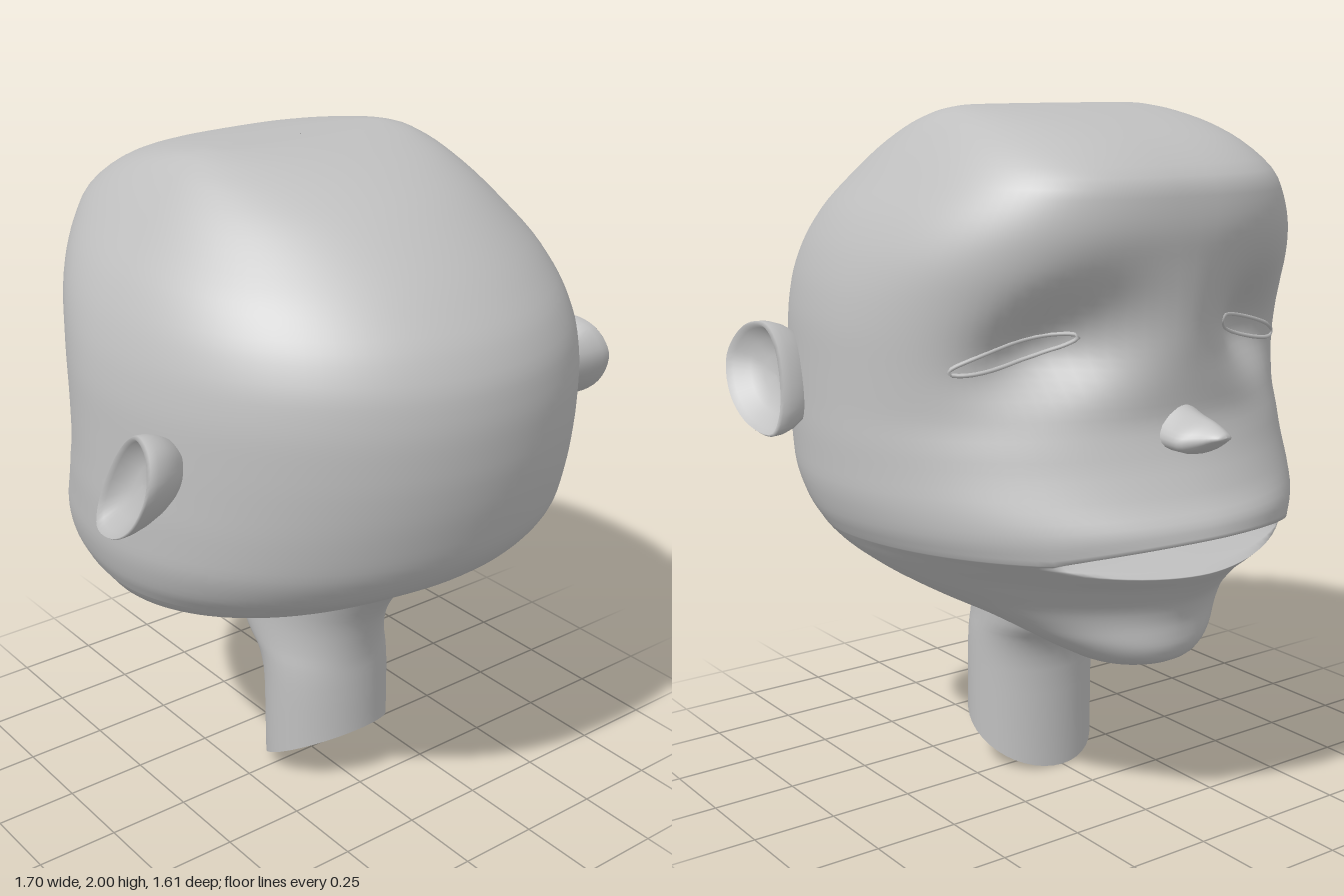
import * as THREE from 'three';

const skin = new THREE.MeshStandardMaterial({ color: 0xbfbfbf, side: THREE.DoubleSide });
skin.name = 'plain grey';

// Skins a list of closed loops of [x, y, z] points with smooth normals
function loft(name, loops) {
  const n = loops[0].length, index = [];
  for (let r = 0; r < loops.length - 1; r++) {
    for (let i = 0; i < n; i++) {
      const j = (i + 1) % n;
      const a = r * n + i, b = r * n + j, c = a + n, d = b + n;
      index.push(a, b, c, b, d, c);
    }
  }
  const geometry = new THREE.BufferGeometry();
  geometry.setAttribute('position', new THREE.Float32BufferAttribute(loops.flat(2), 3));
  geometry.setIndex(index);
  geometry.computeVertexNormals();
  const mesh = new THREE.Mesh(geometry, skin);
  mesh.name = name;
  return mesh;
}

// Smoothly interpolates rows of numbers without overshooting
function smoothRows(rows, steps) {
  const slope = (k, c) => {
    const before = Math.max(k, 1), after = Math.min(k, rows.length - 2);
    const p = rows[before][c] - rows[before - 1][c], q = rows[after + 1][c] - rows[after][c];
    return p * q <= 0 ? 0 : (2 * p * q) / (p + q);
  };
  const out = [];
  for (let k = 0; k < rows.length - 1; k++) {
    for (let s = 0; s < steps; s++) {
      const t = s / steps, t2 = t * t, t3 = t2 * t;
      out.push(rows[k].map((v, c) => (2 * t3 - 3 * t2 + 1) * v + (t3 - 2 * t2 + t) * slope(k, c)
        + (3 * t2 - 2 * t3) * rows[k + 1][c] + (t3 - t2) * slope(k + 1, c)));
    }
  }
  out.push(rows[rows.length - 1]);
  return out;
}

// Head levels: y, half width, face z, back z, z of widest point, face squareness
const lowerHead = [
  [0.458, 0.001, -0.43, -0.428, -0.429, 2],
  [0.465, 0.12, -0.53, -0.28, -0.40, 2],
  [0.50, 0.20, -0.61, -0.12, -0.36, 2.1],
  [0.55, 0.28, -0.63, 0.02, -0.30, 2],
  [0.60, 0.36, -0.63, 0.12, -0.24, 1.8],
  [0.66, 0.47, -0.645, 0.24, -0.16, 1.65],
  [0.73, 0.58, -0.70, 0.37, -0.08, 1.65],
  [0.79, 0.65, -0.755, 0.48, -0.02, 1.75],
  [0.82, 0.675, -0.78, 0.53, 0, 1.83],
];
const upperHead = [
  [0.84, 0.69, -0.80, 0.56, 0, 1.87],
  [0.90, 0.72, -0.79, 0.65, 0, 1.87],
  [1.00, 0.74, -0.73, 0.73, 0, 1.87],
  [1.10, 0.74, -0.67, 0.765, 0, 1.9],
  [1.20, 0.735, -0.635, 0.79, 0, 1.93],
  [1.30, 0.73, -0.64, 0.805, 0, 1.97],
  [1.40, 0.725, -0.65, 0.81, 0, 2],
  [1.50, 0.71, -0.66, 0.80, 0, 2.1],
  [1.60, 0.68, -0.67, 0.76, 0, 2.3],
  [1.70, 0.63, -0.68, 0.68, 0, 2.5],
  [1.80, 0.555, -0.67, 0.57, -0.02, 2.7],
  [1.90, 0.47, -0.55, 0.42, -0.04, 2.8],
  [1.96, 0.405, -0.38, 0.27, -0.05, 2.7],
  [1.99, 0.345, -0.22, 0.13, -0.05, 2.4],
  [2.00, 0.27, -0.12, 0.02, -0.05, 2],
  [2.00, 0.001, -0.051, -0.049, -0.05, 2],
];

// One head loop; mouthY and inset open the mouth between its corners
function headLoop([y0, w, zf, zb, zc, nf], mouthY, inset) {
  const loop = [], segments = 112;
  for (let i = 0; i < segments; i++) {
    const a = (i / segments) * Math.PI * 2;
    const s = Math.sin(a), c = Math.cos(a);
    const n = c < 0 ? nf : 2;
    const x = w * Math.sign(s) * Math.abs(s) ** (2 / n);
    let z = zc + (c < 0 ? zf - zc : zb - zc) * Math.abs(c) ** (2 / n);
    let y = y0;
    if (c < 0) {
      const open = Math.max(0, 1 - (x / 0.42) ** 2);
      y += mouthY * open;
      z += inset * open;
      // Eye sockets beside the nose bridge
      const ex = Math.abs(x) - 0.34, ey = y - 1.38 + 0.25 * ex;
      z += 0.14 * Math.exp(-((ex / 0.18) ** 2) - (ey / (ey > 0 ? 0.15 : 0.12)) ** 2);
    }
    loop.push([x, y, z]);
  }
  return loop;
}

function buildHead() {
  const fade = (y, from, to) => Math.max(0, 1 - Math.abs(y - from) / Math.abs(to - from));
  const lower = smoothRows(lowerHead, 4).map((r) => {
    const lip = fade(r[0], 0.82, 0.73);
    return headLoop(r, -0.04 * lip, 0.03 * lip);
  });
  const upper = smoothRows(upperHead, 4).map((r) => headLoop(r, 0.05 * fade(r[0], 0.84, 0.98), 0));
  // Inside of the mouth between the two lips
  const cavity = [
    headLoop([0.824, 0.678, -0.784, 0.536, 0, 1.838], -0.032, 0.07),
    headLoop([0.828, 0.681, -0.788, 0.542, 0, 1.846], 0, 0.19),
    headLoop([0.832, 0.684, -0.792, 0.548, 0, 1.854], 0.012, 0.19),
    headLoop([0.836, 0.687, -0.796, 0.554, 0, 1.862], 0.038, 0.05),
  ];
  return loft('head', [...lower, ...cavity, ...upper]);
}

// Neck flaring into the skull, cut at a slant and open below
function buildNeck() {
  const rows = [[0, 0.2, -0.1, 0.25], [0.32, 0.2, -0.105, 0.25], [0.42, 0.2, -0.14, 0.25],
    [0.48, 0.2, -0.22, 0.255], [0.58, 0.2, -0.3, 0.28], [0.68, 0.2, -0.3, 0.34], [0.77, 0.2, -0.3, 0.42]];
  return loft('neck', smoothRows(rows, 3).map(([y, w, zf, zb]) => {
    const loop = [];
    for (let i = 0; i < 40; i++) {
      const a = (i / 40) * Math.PI * 2;
      const z = (zf + zb) / 2 + Math.cos(a) * (zb - zf) / 2;
      const slant = Math.max(0, 1 - y / 0.32) * 0.2 * (z + 0.1) / 0.35;
      loop.push([w * Math.sin(a), y + slant, z]);
    }
    return loop;
  }));
}

// Cupped ear: rounded back, rim and hollow bowl
function buildEar(side) {
  const outline = new THREE.CatmullRomCurve3([
    [0.28, 1.4], [0.37, 1.38], [0.41, 1.3], [0.36, 1.19],
    [0.25, 1.115], [0.14, 1.105], [0.125, 1.17], [0.2, 1.34],
  ].map(([z, y]) => new THREE.Vector3(0, y, z)), true);
  const points = outline.getPoints(40).slice(0, 40);
  if (side < 0) points.reverse();
  const rings = [[0.6, -0.13], [0.78, -0.1], [0.92, -0.06], [0.99, -0.025], [1, 0],
    [0.96, 0.008], [0.88, -0.008], [0.65, -0.04], [0.35, -0.055], [0.002, -0.058]];
  return loft(side > 0 ? 'leftEar' : 'rightEar', rings.map(([s, depth]) => points.map((p) => {
    const y = 1.25 + (p.y - 1.25) * s, z = 0.26 + (p.z - 0.26) * s;
    return [side * (0.805 - 0.26 * (y - 1.25) + 0.2 * (z - 0.26) + depth), y, z];
  })));
}

// Narrow eyelid rim laid on the head surface
function buildEyelids(head, side) {
  const ray = new THREE.Raycaster();
  const points = [];
  for (let i = 0; i < 28; i++) {
    const a = (i / 28) * Math.PI * 2;
    const x = side * (0.415 + 0.16 * Math.cos(a));
    const y = 1.37 - 0.04 * Math.cos(a) + 0.028 * Math.sin(a);
    ray.set(new THREE.Vector3(x, y, -2), new THREE.Vector3(0, 0, 1));
    points.push(ray.intersectObject(head)[0].point);
  }
  const curve = new THREE.CatmullRomCurve3(points, true);
  const mesh = new THREE.Mesh(new THREE.TubeGeometry(curve, 56, 0.006, 6, true), skin);
  mesh.name = side > 0 ? 'leftEyelids' : 'rightEyelids';
  return mesh;
}

// Small pointed nose, wider along its lower edge: z, half width, top, bottom
function buildNose() {
  const rows = [[-0.58, 0.09, 1.25, 1.09], [-0.66, 0.085, 1.21, 1.10], [-0.70, 0.08, 1.20, 1.10],
    [-0.74, 0.055, 1.193, 1.115], [-0.78, 0.033, 1.178, 1.14], [-0.797, 0.018, 1.168, 1.15],
    [-0.802, 0.001, 1.16, 1.158]];
  return loft('nose', smoothRows(rows, 3).map(([z, w, top, bottom]) => {
    const loop = [];
    for (let i = 0; i < 28; i++) {
      const a = (i / 28) * Math.PI * 2, c = Math.cos(a);
      loop.push([w * Math.sin(a) * (1 - 0.4 * c), (top + bottom) / 2 + c * (top - bottom) / 2, z]);
    }
    return loop;
  }));
}

export function createModel() {
  const model = new THREE.Group();
  model.name = 'headBust';
  const head = buildHead();
  model.add(head, buildNeck(), buildNose());
  for (const side of [-1, 1]) model.add(buildEar(side), buildEyelids(head, side));
  return model;
}
